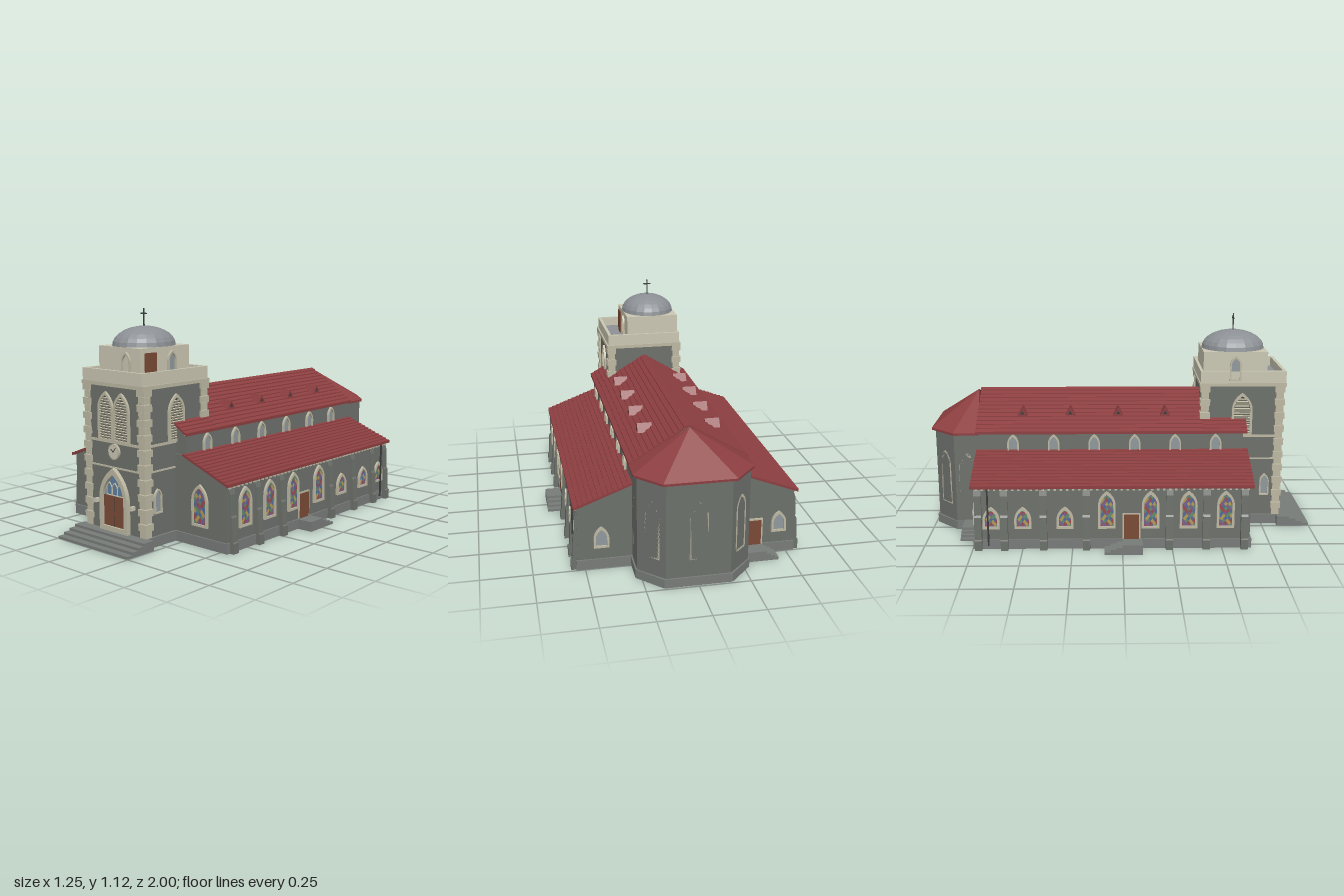
import * as THREE from 'three';
import { mergeGeometries } from 'three/addons/utils/BufferGeometryUtils.js';

const STONE = 0x6c706a, BASE = 0x777b78, CREAM = 0xbdb8a2, PALE = 0xc9c6b2, ROOF = 0x8c3e40;
const WOOD = 0x7a4a35, DARK = 0x3a3d3c, GLASS = 0x8f989c, METAL = 0x8c9094, BLUE = 0x5f7f9f;
const STAINED = [0x4f6a9a, 0x9a4a50, 0xb09a55, 0x5f8a70, 0x7a5f8a];

const mats = {};
const mat = (c) => (mats[c] ??= new THREE.MeshStandardMaterial({ color: c, side: THREE.DoubleSide, flatShading: true }));

function add(parent, name, geo, color) {
  const m = new THREE.Mesh(geo, mat(color));
  m.name = name;
  parent.add(m);
  return m;
}
// box given by its limits
function boxGeo(x0, x1, y0, y1, z0, z1) {
  return new THREE.BoxGeometry(x1 - x0, y1 - y0, z1 - z0).translate((x0 + x1) / 2, (y0 + y1) / 2, (z0 + z1) / 2);
}
const box = (p, name, color, ...lim) => add(p, name, boxGeo(...lim), color);
// xy outline extruded from z0 to z1
function prism(pts, z0, z1) {
  const s = new THREE.Shape(pts.map((p) => new THREE.Vector2(...p)));
  return new THREE.ExtrudeGeometry(s, { depth: z1 - z0, bevelEnabled: false }).translate(0, 0, z0);
}

// pointed arch outline, base centred on the origin
function arch(w, h, Type = THREE.Shape, y0 = 0) {
  const a = w / 2, s = h - Math.min(w * 0.85, h * 0.6), c = s + (h - s) * 0.6, p = new Type();
  p.moveTo(-a, y0); p.lineTo(a, y0); p.lineTo(a, s);
  p.quadraticCurveTo(a, c, 0, h);
  p.quadraticCurveTo(-a, c, -a, s);
  p.closePath();
  return p;
}
function archFrame(w, h, t, depth) {
  const s = arch(w, h);
  s.holes.push(arch(w - 2 * t, h - t * 1.4, THREE.Path, t));
  return new THREE.ExtrudeGeometry(s, { depth, bevelEnabled: false, curveSegments: 8 });
}

// diamond panes, clamped to the arch, one mesh per colour
function stainedGlass(g, w, h) {
  const s = h - Math.min(w * 0.85, h * 0.6), dx = w / 4, dy = w / 3;
  const half = (y) => (w / 2) * (y < s ? 1 : 1 - Math.pow((y - s) / (h - s), 1.6));
  const lists = STAINED.map(() => []);
  for (let j = 0; j * dy / 2 <= h; j++) for (let i = -2; i <= 2; i++) {
    const cx = (i + (j % 2) / 2) * dx, cy = j * dy / 2;
    const q = [[cx - dx / 2, cy], [cx, cy - dy / 2], [cx + dx / 2, cy], [cx, cy + dy / 2]].map(([x, y]) => {
      y = THREE.MathUtils.clamp(y, 0, h);
      const k = half(y);
      return [THREE.MathUtils.clamp(x, -k, k), y, 0.005];
    });
    lists[(i + 2 + j * 2 + (i * i * j) % 3) % 5].push(...[0, 1, 2, 0, 2, 3].flatMap((n) => q[n]));
  }
  lists.forEach((l, n) => {
    const geo = new THREE.BufferGeometry();
    geo.setAttribute('position', new THREE.Float32BufferAttribute(l, 3));
    geo.computeVertexNormals();
    add(g, 'stainedPanes', geo, STAINED[n]);
  });
}

// window on a wall; ry turns it to face outward
function archWindow(p, name, w, h, x, y, z, ry, kind = 'plain') {
  const g = new THREE.Group();
  g.name = name;
  g.position.set(x, y, z);
  g.rotation.y = ry;
  const t = Math.min(0.012, w * 0.14);
  add(g, 'windowFrame', archFrame(w, h, t, 0.012), CREAM);
  const pane = add(g, 'windowPane', new THREE.ShapeGeometry(arch(w - t, h - t)), kind === 'louvre' ? DARK : kind === 'pale' ? PALE : GLASS);
  pane.position.z = 0.003;
  if (kind === 'stained') stainedGlass(g, w - t, h - t);
  if (kind === 'louvre') {
    const slats = [];
    for (let y0 = 0.02; y0 < h - 0.03; y0 += 0.0125) {
      const u = Math.max(0, (y0 - h + w * 0.85) / (w * 0.85));
      slats.push(new THREE.BoxGeometry((w - 2 * t) * (1 - Math.pow(u, 1.6)), 0.008, 0.006).rotateX(0.5).translate(0, y0, 0.007));
    }
    add(g, 'louvreSlats', mergeGeometries(slats), CREAM);
  }
  p.add(g);
}

// roof slope with stepped tile courses, eave (x0,y0) to ridge (x1,y1)
function roofSlope(p, name, x0, y0, x1, y1, z0, z1, n) {
  const pts = [[x1, y1 - 0.006], [x0, y0 - 0.006]];
  for (let i = 0; i < n; i++) {
    const a = i / n, b = (i + 1) / n, L = THREE.MathUtils.lerp;
    pts.push([L(x0, x1, a), L(y0, y1, a) + 0.009], [L(x0, x1, b), L(y0, y1, b) + 0.004]);
  }
  add(p, name, prism(pts, z0, z1), ROOF);
}

// everything on one side of the nave, built for +x
function buildSide() {
  const g = new THREE.Group(), R = Math.PI / 2;
  add(g, 'aisleWalls', prism([[0.2, 0], [0.535, 0], [0.535, 0.325], [0.27, 0.43], [0.2, 0.43]], -0.74, 0.64), STONE);
  box(g, 'aislePlinth', BASE, 0.2, 0.543, 0, 0.05, -0.748, 0.648);
  add(g, 'naveFrontShoulder', prism([[0.19, 0], [0.27, 0], [0.27, 0.53], [0.19, 0.58]], 0.4, 0.63), STONE);
  roofSlope(g, 'aisleRoof', 0.552, 0.325, 0.265, 0.435, -0.755, 0.655, 12);
  roofSlope(g, 'naveRoof', 0.287, 0.53, 0, 0.705, -0.755, 0.42, 12);
  roofSlope(g, 'naveRoofFront', 0.287, 0.53, 0.2, 0.583, 0.42, 0.65, 4);
  box(g, 'clerestorySill', CREAM, 0.26, 0.274, 0.522, 0.532, -0.75, 0.635);

  // stepped, tapering buttresses
  for (const z of [0.61, 0.42, 0.235, -0.18, -0.395, -0.59, -0.72])
    add(g, 'buttress', prism([[0.52, 0], [0.567, 0], [0.567, 0.05], [0.56, 0.055], [0.555, 0.17], [0.548, 0.18], [0.545, 0.28], [0.535, 0.31], [0.52, 0.31]], z - 0.018, z + 0.018), STONE);
  // dentils beneath the eave
  const dentils = [];
  for (let z = -0.73; z < 0.64; z += 0.03) dentils.push(boxGeo(0.53, 0.545, 0.308, 0.32, z, z + 0.012));
  add(g, 'eaveDentils', mergeGeometries(dentils), CREAM);

  for (const z of [0.515, 0.33, 0.14, -0.078]) archWindow(g, 'aisleWindow', 0.088, 0.195, 0.535, 0.107, z, R, 'stained');
  for (const z of [-0.287, -0.497, -0.655]) archWindow(g, 'smallAisleWindow', 0.085, 0.115, 0.535, 0.107, z, R, 'stained');
  for (let i = 0; i < 6; i++) archWindow(g, 'clerestoryWindow', 0.06, 0.098, 0.27, 0.422, 0.487 - i * 0.21, R);
  archWindow(g, 'frontAisleWindow', 0.1, 0.205, 0.37, 0.1, 0.64, 0, 'stained');
  box(g, 'downpipe', DARK, 0.545, 0.553, 0.02, 0.32, -0.674, -0.666);

  // side door and its landing, stepping down to the rear
  box(g, 'sideDoor', WOOD, 0.53, 0.542, 0.05, 0.178, 0.008, 0.082);
  box(g, 'sideDoorFrame', CREAM, 0.53, 0.539, 0.05, 0.186, 0, 0.09);
  [0, -0.03, -0.06, -0.09].forEach((z, i) => box(g, 'sideStep', BASE, 0.53, 0.625, 0, 0.05 - i * 0.0125, z, 0.1));

  // small hooded roof vents
  for (const z of [0.228, -0.018, -0.268, -0.518]) {
    const v = add(g, 'roofVent', prism([[-0.026, 0], [0.026, 0], [0, 0.042]], -0.045, 0.028).rotateY(R), ROOF);
    v.position.set(0.178, 0.602, z);
    const o = add(g, 'ventOpening', new THREE.CircleGeometry(0.013, 3, Math.PI / 2).rotateY(R), DARK);
    o.position.set(0.207, 0.616, z);
  }
  return g;
}

function buildTower() {
  const g = new THREE.Group(), F = 0.84, R = Math.PI / 2;
  g.name = 'tower';
  box(g, 'towerShaft', STONE, -0.2, 0.2, 0, 0.76, 0.42, F);
  box(g, 'towerPlinth', BASE, -0.212, 0.212, 0, 0.05, 0.42, 0.852);
  // corner quoins, long and short in turn
  const quoins = [];
  for (let i = 0; i < 20; i++) for (const sx of [-1, 1]) for (const cz of [0.425, 0.835]) {
    const y = 0.05 + i * 0.0355, d = i % 2 ? 0.052 : 0.04;
    quoins.push(new THREE.BoxGeometry(d, 0.0335, d).translate(sx * 0.19, y + 0.0178, cz + (cz > 0.6 ? -0.01 : 0.01)));
  }
  add(g, 'quoins', mergeGeometries(quoins), CREAM);
  for (const [y, h] of [[0.36, 0.008], [0.482, 0.012]]) box(g, 'stringCourse', CREAM, -0.205, 0.205, y, y + h, 0.415, F + 0.005);
  box(g, 'cornice', CREAM, -0.216, 0.216, 0.757, 0.775, 0.405, 0.856);

  // hollow parapet and terrace
  const s = new THREE.Shape([[-0.207, -0.855], [0.207, -0.855], [0.207, -0.41], [-0.207, -0.41]].map((p) => new THREE.Vector2(...p)));
  s.holes.push(new THREE.Path([[-0.19, -0.838], [-0.19, -0.427], [0.19, -0.427], [0.19, -0.838]].map((p) => new THREE.Vector2(...p))));
  add(g, 'parapet', new THREE.ExtrudeGeometry(s, { depth: 0.06, bevelEnabled: false }).rotateX(-R).translate(0, 0.775, 0), PALE);
  box(g, 'terrace', METAL, -0.19, 0.19, 0.77, 0.785, 0.427, 0.838);

  // belfry openings
  for (const x of [-0.055, 0.055]) archWindow(g, 'belfryWindow', 0.108, 0.24, x, 0.49, F, 0, 'louvre');
  for (const sx of [-1, 1]) {
    archWindow(g, 'belfryWindow', 0.108, 0.23, sx * 0.2, 0.49, 0.63, sx * R, 'louvre');
    archWindow(g, 'stairWindow', 0.05, 0.12, sx * 0.2, 0.16, 0.76, sx * R);
    box(g, 'lamp', PALE, sx * 0.127 - 0.007, sx * 0.127 + 0.007, 0.177, 0.197, F, 0.865);
  }

  // clock
  add(g, 'clockRim', new THREE.CylinderGeometry(0.038, 0.038, 0.014, 24).rotateX(R).translate(0, 0.443, F + 0.004), CREAM);
  add(g, 'clockFace', new THREE.CircleGeometry(0.031, 24).translate(0, 0.443, F + 0.012), PALE);
  for (const [a, l] of [[0.9, 0.02], [-0.7, 0.026]])
    add(g, 'clockHand', new THREE.BoxGeometry(0.003, l, 0.002).translate(0, l / 2, 0).rotateZ(a).translate(0, 0.443, F + 0.014), DARK);

  // portal
  add(g, 'portalSurround', archFrame(0.196, 0.315, 0.024, 0.022).translate(0, 0.05, F), CREAM);
  add(g, 'portalGlass', new THREE.ShapeGeometry(arch(0.16, 0.285)).translate(0, 0.055, F + 0.004), BLUE);
  box(g, 'portalDoor', WOOD, -0.075, 0.075, 0.05, 0.225, F, F + 0.012);
  box(g, 'doorGap', DARK, -0.001, 0.001, 0.05, 0.225, F, F + 0.013);
  for (const x of [-0.038, 0, 0.038]) add(g, 'portalTracery', archFrame(0.042, 0.066, 0.004, 0.004).translate(x, 0.225, F + 0.005), PALE);
  for (let i = 0; i < 4; i++) box(g, 'frontStep', BASE, -0.247, 0.247, i * 0.0125, (i + 1) * 0.0125, 0.83, 1 - i * 0.035);

  // offset lantern with dome and cross
  box(g, 'lantern', PALE, -0.198, 0.095, 0.78, 0.935, 0.424, 0.756);
  box(g, 'lanternDoor', WOOD, 0.09, 0.102, 0.785, 0.912, 0.653, 0.728);
  archWindow(g, 'lanternWindow', 0.06, 0.13, 0.095, 0.785, 0.55, R);
  archWindow(g, 'lanternWindow', 0.06, 0.13, 0.003, 0.785, 0.756, 0, 'pale');
  archWindow(g, 'lanternWindow', 0.06, 0.13, -0.198, 0.785, 0.59, -R);
  const dome = add(g, 'dome', new THREE.SphereGeometry(1, 20, 7, 0, Math.PI * 2, 0, R), METAL);
  dome.scale.set(0.148, 0.095, 0.165);
  dome.position.set(-0.051, 0.935, 0.59);
  box(g, 'crossPost', DARK, -0.054, -0.048, 1.02, 1.115, 0.587, 0.593);
  box(g, 'crossArm', DARK, -0.072, -0.03, 1.087, 1.093, 0.587, 0.593);
  return g;
}

function buildApse() {
  const g = new THREE.Group();
  g.name = 'apse';
  const ring = (k) => [[0.27 + k, -0.74], [0.27 + k, -0.87], [0.155 + k, -0.982 - k], [-0.155 - k, -0.982 - k], [-0.27 - k, -0.87], [-0.27 - k, -0.74]];
  const floor = (k, h) => prism(ring(k).map(([x, z]) => [x, -z]), 0, h).rotateX(-Math.PI / 2);
  add(g, 'apseWalls', floor(0, 0.53), STONE);
  add(g, 'apsePlinth', floor(0.008, 0.045), BASE);
  // hipped roof fanning from the ridge end
  const e = ring(0.017), pos = [];
  for (let i = 0; i < 5; i++) pos.push(0, 0.7, -0.765, e[i][0], 0.53, e[i][1], e[i + 1][0], 0.53, e[i + 1][1]);
  const geo = new THREE.BufferGeometry();
  geo.setAttribute('position', new THREE.Float32BufferAttribute(pos, 3));
  geo.computeVertexNormals();
  add(g, 'apseRoof', geo, ROOF);
  add(g, 'apseEave', floor(0.016, 0.012).translate(0, 0.518, 0), ROOF);
  // one tall window per face
  const w = ring(0);
  for (let i = 0; i < 5; i++) {
    const [ax, az] = w[i], [bx, bz] = w[i + 1];
    archWindow(g, 'apseWindow', 0.088, 0.29, (ax + bx) / 2, 0.13, (az + bz) / 2, Math.atan2(az - bz, bx - ax) + Math.PI, 'stained');
  }
  return g;
}

export function createModel() {
  const model = new THREE.Group();
  model.name = 'church';
  add(model, 'nave', prism([[-0.27, 0], [0.27, 0], [0.27, 0.53], [0, 0.695], [-0.27, 0.53]], -0.75, 0.42), STONE);
  for (const s of [1, -1]) {
    const side = buildSide();
    side.name = s > 0 ? 'leftSide' : 'rightSide';
    side.scale.x = s;
    model.add(side);
  }
  model.add(buildTower(), buildApse());

  // rear aisle walls: windows, and a vestry door with steps on one side
  for (const x of [0.42, -0.46]) archWindow(model, 'rearAisleWindow', 0.075, 0.11, x, 0.11, -0.74, Math.PI, 'plain');
  box(model, 'vestryDoor', WOOD, -0.37, -0.3, 0.05, 0.18, -0.752, -0.73);
  box(model, 'vestryDoorFrame', CREAM, -0.378, -0.292, 0.05, 0.188, -0.749, -0.73);
  [-0.38, -0.4, -0.42, -0.44].forEach((x, i) => box(model, 'vestryStep', BASE, x, -0.27, 0, 0.05 - i * 0.0125, -0.83, -0.74));
  return model;
}
